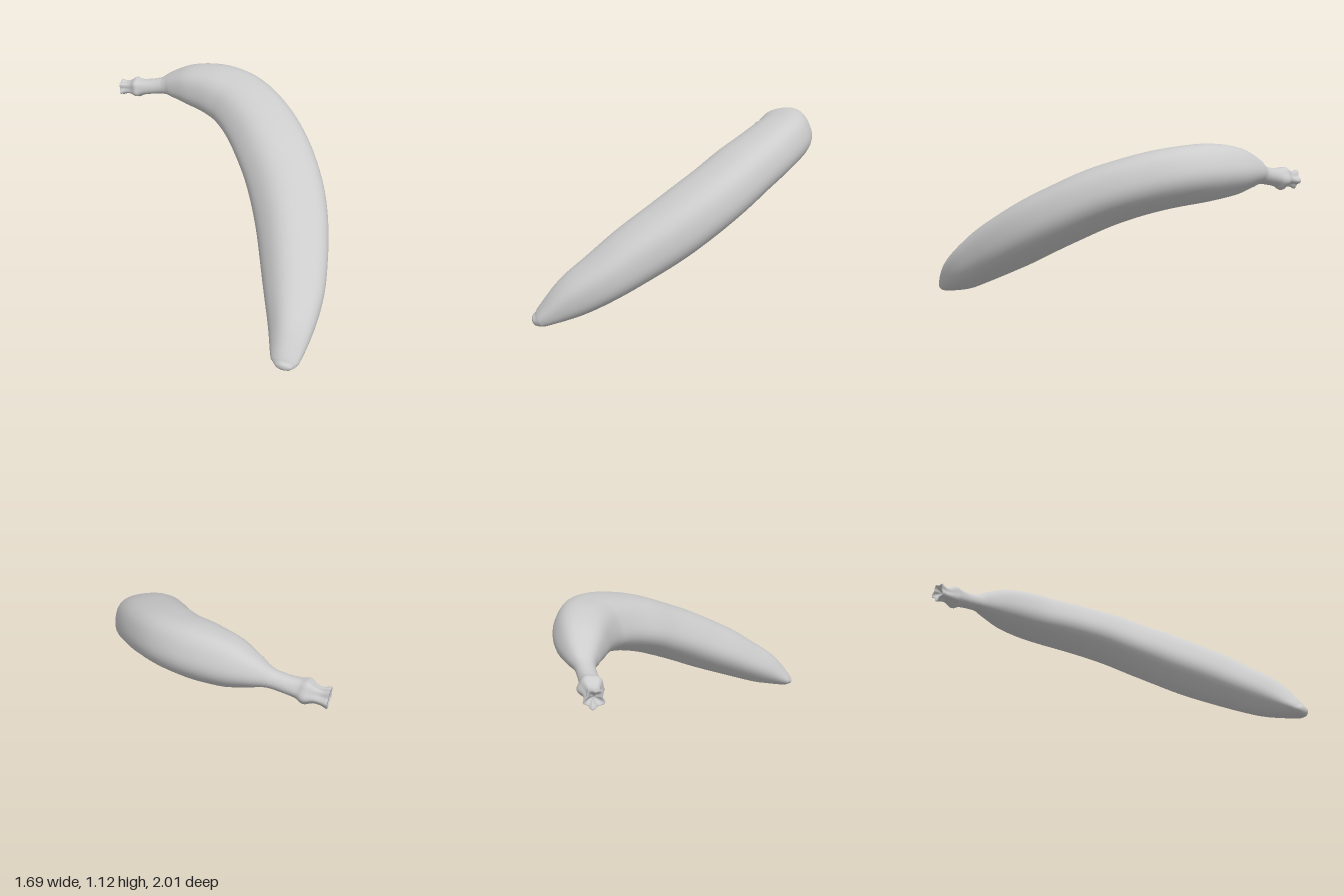
import * as THREE from 'three';

// Cross-sections from blossom tip to stem end:
// centre x, y, z, half width in the bend, half thickness, lobe depth
const SECTIONS = [
  [0.64, 0.045, 0.985, 0.05, 0.03, 0.02],
  [0.645, 0.06, 0.95, 0.085, 0.05, 0.02],
  [0.66, 0.175, 0.77, 0.142, 0.122, 0.025],
  [0.655, 0.285, 0.58, 0.188, 0.152, 0.025],
  [0.63, 0.4, 0.385, 0.215, 0.175, 0.025],
  [0.593, 0.51, 0.185, 0.234, 0.186, 0.025],
  [0.54, 0.615, 0, 0.246, 0.188, 0.025],
  [0.465, 0.713, -0.18, 0.25, 0.186, 0.025],
  [0.375, 0.8, -0.34, 0.25, 0.184, 0.025],
  [0.27, 0.87, -0.5, 0.243, 0.18, 0.025],
  [0.155, 0.92, -0.635, 0.232, 0.178, 0.025],
  [0.05, 0.945, -0.725, 0.22, 0.175, 0.025],
  [-0.1, 0.96, -0.8, 0.195, 0.17, 0.025],
  [-0.29, 0.955, -0.855, 0.152, 0.142, 0.025],
  [-0.435, 0.935, -0.88, 0.1, 0.088, 0.02],
  [-0.51, 0.918, -0.885, 0.065, 0.058, 0.01],
  [-0.6, 0.9, -0.89, 0.058, 0.054, 0.01],
  [-0.67, 0.888, -0.892, 0.06, 0.06, 0.03],
  [-0.715, 0.88, -0.898, 0.074, 0.074, 0.06],
  [-0.76, 0.874, -0.902, 0.053, 0.052, 0.08],
  [-0.8, 0.869, -0.905, 0.046, 0.048, 0.12],
  [-0.84, 0.866, -0.907, 0.055, 0.058, 0.16],
];
const SIDES = 40;
const STEPS = 4;
const PLANE_NORMAL = new THREE.Vector3(0, 0.88, 0.475).normalize();

// One lobed ring of points around a centre
function makeRing(centre, tangent, size) {
  const n = PLANE_NORMAL.clone().addScaledVector(tangent, -PLANE_NORMAL.dot(tangent)).normalize();
  const w = new THREE.Vector3().crossVectors(n, tangent);
  return Array.from({ length: SIDES }, (_, j) => {
    const a = (j / SIDES) * Math.PI * 2;
    const k = 1 + size.z * Math.cos(5 * a);
    return centre.clone()
      .addScaledVector(w, Math.cos(a) * size.x * k)
      .addScaledVector(n, Math.sin(a) * size.y * k);
  });
}

// Skin a list of rings with smooth normals
function skin(rings) {
  const index = [];
  for (let i = 0; i < rings.length - 1; i++) {
    for (let j = 0; j < SIDES; j++) {
      const k = (j + 1) % SIDES;
      const a = i * SIDES + j, b = i * SIDES + k;
      index.push(a, b, a + SIDES, b, b + SIDES, a + SIDES);
    }
  }
  const geometry = new THREE.BufferGeometry().setFromPoints(rings.flat());
  geometry.setIndex(index);
  geometry.computeVertexNormals();
  return geometry;
}

// Rings shrinking to the middle; each step is [scale, shift along direction]
function capRings(ring, centre, direction, steps) {
  return steps.map(([scale, shift]) => ring.map((p) =>
    p.clone().sub(centre).multiplyScalar(scale).add(centre).addScaledVector(direction, shift)));
}

export function createModel() {
  const group = new THREE.Group();
  group.name = 'banana';
  const peelGrey = new THREE.MeshStandardMaterial({ color: 0xcccccc });
  peelGrey.name = 'peel grey';

  const add = (name, rings) => {
    const mesh = new THREE.Mesh(skin(rings), peelGrey);
    mesh.name = name;
    group.add(mesh);
  };

  const path = new THREE.CatmullRomCurve3(
    SECTIONS.map(([x, y, z]) => new THREE.Vector3(x, y, z)));
  const sizes = new THREE.CatmullRomCurve3(
    SECTIONS.map(([, , , a, b, lobe]) => new THREE.Vector3(a, b, lobe)), false, 'catmullrom', 0.5);

  const total = (SECTIONS.length - 1) * STEPS;
  const rings = [];
  for (let i = 0; i <= total; i++) {
    const t = i / total;
    rings.push(makeRing(path.getPoint(t), path.getTangent(t), sizes.getPoint(t)));
  }

  // Fruit and stem share a ring where the neck begins
  const neck = 15 * STEPS;
  add('fruit', rings.slice(0, neck + 1));
  add('stem', rings.slice(neck));

  // Blunt blossom tip
  const tipDirection = path.getTangent(0).negate();
  add('blossomTip', capRings(rings[0], path.getPoint(0), tipDirection,
    [[0, 0.014], [0.5, 0.012], [0.85, 0.006], [1, 0]]));

  // Hollow cut end of the stem
  const endDirection = path.getTangent(1);
  add('stemEnd', capRings(rings[total], path.getPoint(1), endDirection,
    [[1, 0], [0.85, 0.004], [0.6, -0.012], [0.3, -0.025], [0, -0.03]]));

  return group;
}
